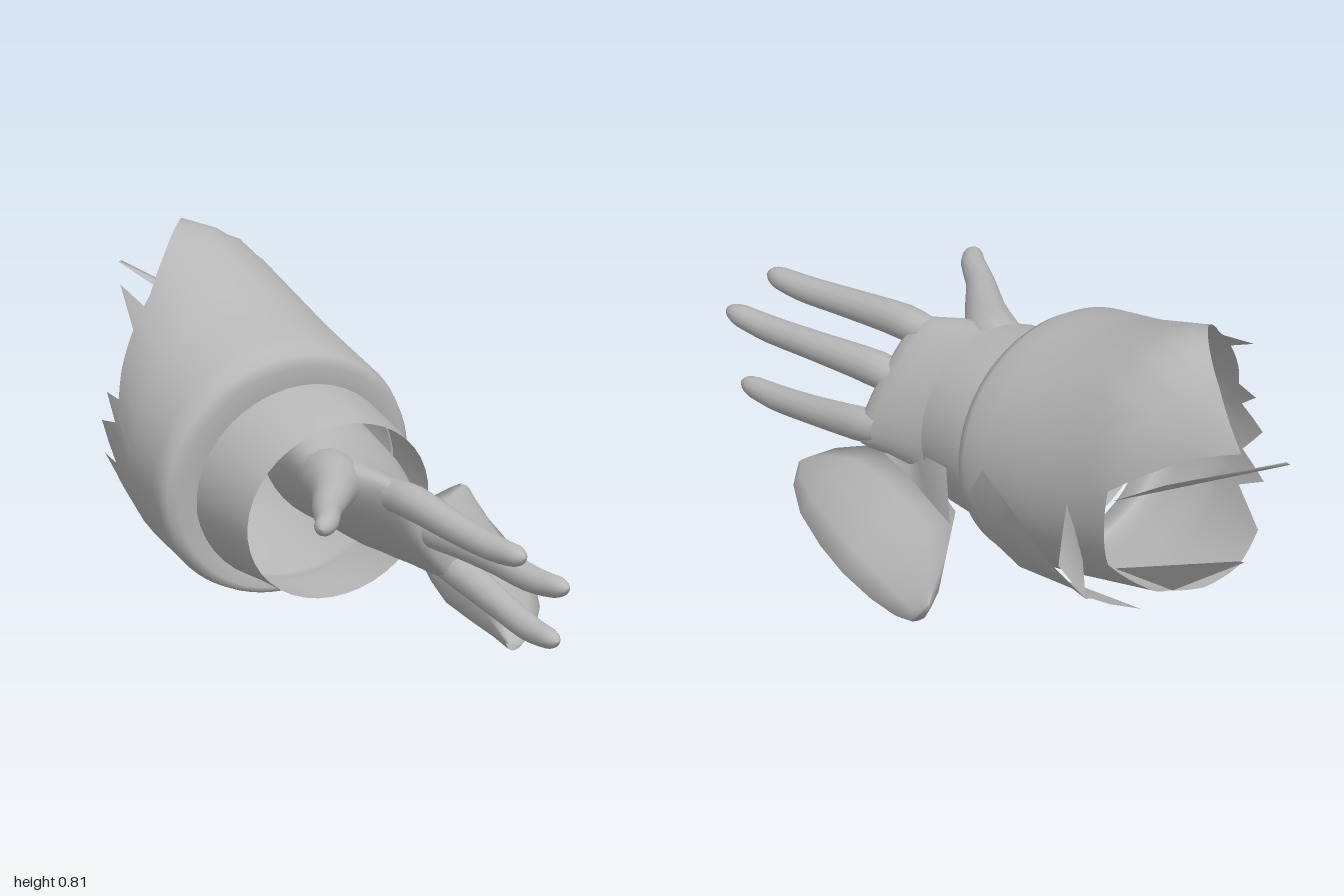
import * as THREE from 'three';

const fabricAndSkin = new THREE.MeshStandardMaterial({ color: 0xb8b8b8, side: THREE.DoubleSide });
fabricAndSkin.name = 'plain grey';

// Surface through rows of points; rows may wrap around, the last row may be capped
function loft(name, rows, { wrap = true, cap = false } = {}) {
  const n = rows[0].length, pos = [], idx = [];
  rows.forEach(r => r.forEach(p => pos.push(...p)));
  const cols = wrap ? n : n - 1;
  for (let i = 0; i < rows.length - 1; i++) {
    for (let j = 0; j < cols; j++) {
      const a = i * n + j, b = i * n + (j + 1) % n, c = a + n, d = b + n;
      idx.push(a, b, c, b, d, c);
    }
  }
  if (cap) {
    const o = (rows.length - 1) * n;
    for (let j = 1; j < n - 1; j++) idx.push(o, o + j, o + j + 1);
  }
  const g = new THREE.BufferGeometry();
  g.setAttribute('position', new THREE.Float32BufferAttribute(pos, 3));
  g.setIndex(idx);
  g.computeVertexNormals();
  const mesh = new THREE.Mesh(g, fabricAndSkin);
  mesh.name = name;
  return mesh;
}

// Linear lookup in a table whose first column is the key
function lookup(table, k) {
  let i = 0;
  while (i < table.length - 2 && k > table[i + 1][0]) i++;
  const [a, b] = [table[i], table[i + 1]];
  const t = THREE.MathUtils.clamp((k - a[0]) / (b[0] - a[0]), 0, 1);
  return a.slice(1).map((v, j) => v + (b[j + 1] - v) * t);
}

const ring = (n, f) => Array.from({ length: n }, (_, i) => f((i / n) * Math.PI * 2));

// Rounded tapering digit along a curve of [x, y, z, radius] points
function digit(name, pts) {
  const curve = new THREE.CatmullRomCurve3(pts.map(p => new THREE.Vector3(p[0], p[1], p[2])));
  const radii = pts.map((p, i) => [i / (pts.length - 1), p[3]]);
  const steps = 18, rows = [];
  for (let i = 0; i <= steps; i++) {
    const t = 1 - (1 - i / steps) ** 1.6;
    const c = curve.getPoint(t), d = curve.getTangent(t);
    const u = new THREE.Vector3(0, 1, 0).cross(d).normalize(), v = d.clone().cross(u);
    const tip = Math.sqrt(Math.max(0, 1 - Math.max(0, (t - 0.9) / 0.1) ** 2));
    const r = lookup(radii, t)[0] * Math.max(tip, 0.02);
    rows.push(ring(14, a => c.clone().addScaledVector(u, r * Math.cos(a)).addScaledVector(v, r * Math.sin(a)).toArray()));
  }
  return loft(name, rows, { cap: true });
}

function buildHand() {
  const hand = new THREE.Group();
  hand.name = 'hand';
  // Wrist and palm: z, centre x, centre y, half width, half thickness, width angle
  const sections = [
    [-0.05, -0.06, 0.345, 0.2, 0.135, 2.44], [0.08, -0.06, 0.335, 0.215, 0.12, 2.44],
    [0.18, -0.075, 0.323, 0.22, 0.1, 2.44], [0.27, -0.07, 0.316, 0.21, 0.085, 2.4],
    [0.35, -0.055, 0.31, 0.195, 0.07, 2.3], [0.41, -0.038, 0.302, 0.185, 0.058, 2.23],
    [0.445, -0.03, 0.298, 0.178, 0.047, 2.21], [0.465, -0.028, 0.297, 0.165, 0.03, 2.21],
  ];
  hand.add(loft('palmAndWrist', sections.map(([z, cx, cy, w, h, q]) => ring(32, a => {
    const u = w * Math.cos(a), v = h * Math.sin(a);
    return [cx + u * Math.cos(q) - v * Math.sin(q), cy + u * Math.sin(q) + v * Math.cos(q), z];
  })), { cap: true }));
  hand.add(
    digit('indexFinger', [[-0.116, 0.408, 0.42, 0.042], [-0.108, 0.412, 0.5, 0.045], [-0.085, 0.395, 0.7, 0.038], [-0.06, 0.385, 0.85, 0.034], [-0.04, 0.39, 0.96, 0.026]]),
    digit('middleFinger', [[-0.027, 0.306, 0.42, 0.042], [-0.015, 0.312, 0.5, 0.046], [0.015, 0.305, 0.7, 0.038], [0.035, 0.295, 0.87, 0.034], [0.06, 0.305, 1.0, 0.026]]),
    digit('littleFinger', [[0.045, 0.2, 0.4, 0.042], [0.052, 0.188, 0.48, 0.044], [0.06, 0.16, 0.65, 0.037], [0.065, 0.14, 0.8, 0.033], [0.075, 0.14, 0.92, 0.024]]),
    digit('thumb', [[-0.19, 0.41, 0.19, 0.068], [-0.215, 0.417, 0.28, 0.075], [-0.275, 0.43, 0.39, 0.052], [-0.355, 0.435, 0.51, 0.037], [-0.41, 0.44, 0.61, 0.03], [-0.45, 0.44, 0.655, 0.022]]),
  );
  return hand;
}

// Band around the wrist, front rim leaning back towards the bottom
function buildCuff() {
  const rows = [[0.14, 0.255, 0.235, 0.03, 0.285], [0.03, 0.265, 0.248, 0.02, 0.295], [-0.09, 0.278, 0.26, 0, 0.3]];
  return loft('wristCuff', rows.map(([z, rx, ry, lean, cy]) => ring(40, a =>
    [-0.125 + rx * Math.cos(a), cy + ry * Math.sin(a), z + lean * Math.sin(a)])));
}

// Wide sleeve with a folded front hem and a torn back edge
function buildSleeve() {
  const shape = [ // distance back, centre x, centre y, radius x, radius y
    [0.1, -0.15, 0.325, 0.347, 0.325], [0.3, -0.155, 0.365, 0.335, 0.335],
    [0.6, -0.15, 0.45, 0.28, 0.365], [0.8, -0.18, 0.47, 0.23, 0.33], [1, -0.2, 0.47, 0.2, 0.28],
  ];
  const torn = [ // angle in degrees, distance back of the edge
    [0, 0.6], [35, 0.94], [60, 0.8], [90, 0.64], [110, 0.54], [125, 0.47], [130, 0.46], [135, 0.58],
    [140, 0.44], [155, 0.41], [165, 0.38], [170, 0.46], [175, 0.38], [185, 0.49], [195, 0.4], [205, 0.54],
    [210, 0.43], [225, 0.6], [245, 0.62], [265, 0.6], [280, 0.55],
    [300, 0.58], [320, 0.53], [340, 0.57], [360, 0.6],
  ];
  const hem = [[-0.125, 0.3, 0.272, 0.255, -0.085], [-0.14, 0.312, 0.315, 0.295, -0.075], [-0.148, 0.32, 0.338, 0.316, -0.083]];
  const rows = hem.map(([cx, cy, rx, ry, z]) => ring(72, a =>
    [cx + rx * Math.cos(a), cy + ry * Math.sin(a), z + 0.03 * Math.sin(a)]));
  for (let i = 0; i <= 10; i++) {
    rows.push(ring(72, a => {
      const end = lookup(torn, THREE.MathUtils.radToDeg(a))[0];
      const d = 0.11 + (end - 0.11) * i / 10;
      const [cx, cy, rx, ry] = lookup(shape, d);
      return [cx + rx * Math.cos(a), cy + ry * Math.sin(a), -d + 0.03 * Math.sin(a) * (1 - i / 10)];
    }));
  }
  return loft('sleeve', rows);
}

// Pointed fold flaring out from the lower side of the sleeve, with its lining
function buildSleeveFold() {
  const fold = new THREE.Group();
  fold.name = 'sleeveFold';
  const sheet = (name, root, tip) => loft(name, [0, 0.25, 0.5, 0.75, 1].map(t =>
    root.map((p, j) => p.map((v, k) => v + (tip[j][k] - v) * t))), { wrap: false });
  fold.add(
    sheet('foldOuter',
      [[0.17, 0.365, -0.12], [0.2, 0.27, -0.14], [0.17, 0.17, -0.17], [0.09, 0.07, -0.2], [-0.02, 0.02, -0.28]],
      [[0.362, 0.347, -0.66], [0.345, 0.29, -0.78], [0.24, 0.215, -0.67], [0.13, 0.14, -0.61], [0, 0.07, -0.57]]),
    sheet('foldLining',
      [[0.14, 0.37, -0.45], [0.13, 0.22, -0.5]],
      [[0.352, 0.345, -0.68], [0.345, 0.29, -0.78]]),
  );
  return fold;
}

// Hanging crescent of cloth below the cuff
function buildHangingFlap() {
  const sections = [ // inner x, inner z, outer x, outer z, top, outer edge and bottom heights
    [0.085, 0.63, 0.12, 0.64, 0.05, 0.04, 0.03], [0.075, 0.55, 0.21, 0.55, 0.1, 0.04, 0.02],
    [0.06, 0.42, 0.3, 0.41, 0.155, 0.045, 0.01], [0.06, 0.28, 0.38, 0.23, 0.175, 0.05, 0.005],
    [0.1, 0.13, 0.43, 0.08, 0.18, 0.05, 0.005], [0.15, -0.02, 0.467, -0.08, 0.172, 0.052, 0.015],
    [0.3, -0.17, 0.487, -0.2, 0.158, 0.06, 0.035], [0.41, -0.26, 0.495, -0.27, 0.142, 0.075, 0.065],
    [0.46, -0.305, 0.488, -0.305, 0.13, 0.11, 0.105],
  ];
  return loft('hangingFlap', sections.map(([ix, iz, ox, oz, top, out, bot]) => {
    const at = (t, y) => [ix + (ox - ix) * t, y, iz + (oz - iz) * t];
    const mix = k => top + (out - top) * k;
    return [at(0, top), at(0.3, mix(0.14)), at(0.6, mix(0.36)), at(0.86, mix(0.66)), at(1, out),
      at(0.9, (out + bot) / 2), at(0.65, bot), at(0.4, bot), at(0.15, bot + (top - bot) * 0.25)];
  }), { cap: true });
}

// Cloth joining the lower side of the cuff to the flap
function buildGusset() {
  const cuffEdge = [[0.14, 0.27, 0.03], [0.127, 0.26, 0.13], [0.1, 0.22, 0.19], [0.06, 0.2, 0.28]];
  const flapEdge = [[0.2, 0.168, -0.06], [0.16, 0.172, 0.08], [0.12, 0.17, 0.2], [0.08, 0.165, 0.35]];
  return loft('cuffGusset', [cuffEdge, flapEdge], { wrap: false });
}

export function createModel() {
  const model = new THREE.Group();
  model.name = 'sleevedHand';
  model.add(buildHand(), buildCuff(), buildSleeve(), buildSleeveFold(), buildHangingFlap(), buildGusset());
  // Long torn strips trailing behind the sleeve
  model.add(
    loft('upperTornStrip', [[[0.1, 0.405, -0.58], [0.06, 0.5, -0.74]], [[-0.13, 0.6, -1], [-0.125, 0.605, -0.99]]], { wrap: false }),
    loft('lowerTornStrip', [[[0.06, 0.19, -0.54], [-0.1, 0.09, -0.57]], [[-0.17, 0.22, -0.75], [-0.18, 0.215, -0.755]]], { wrap: false }),
  );
  return model;
}
